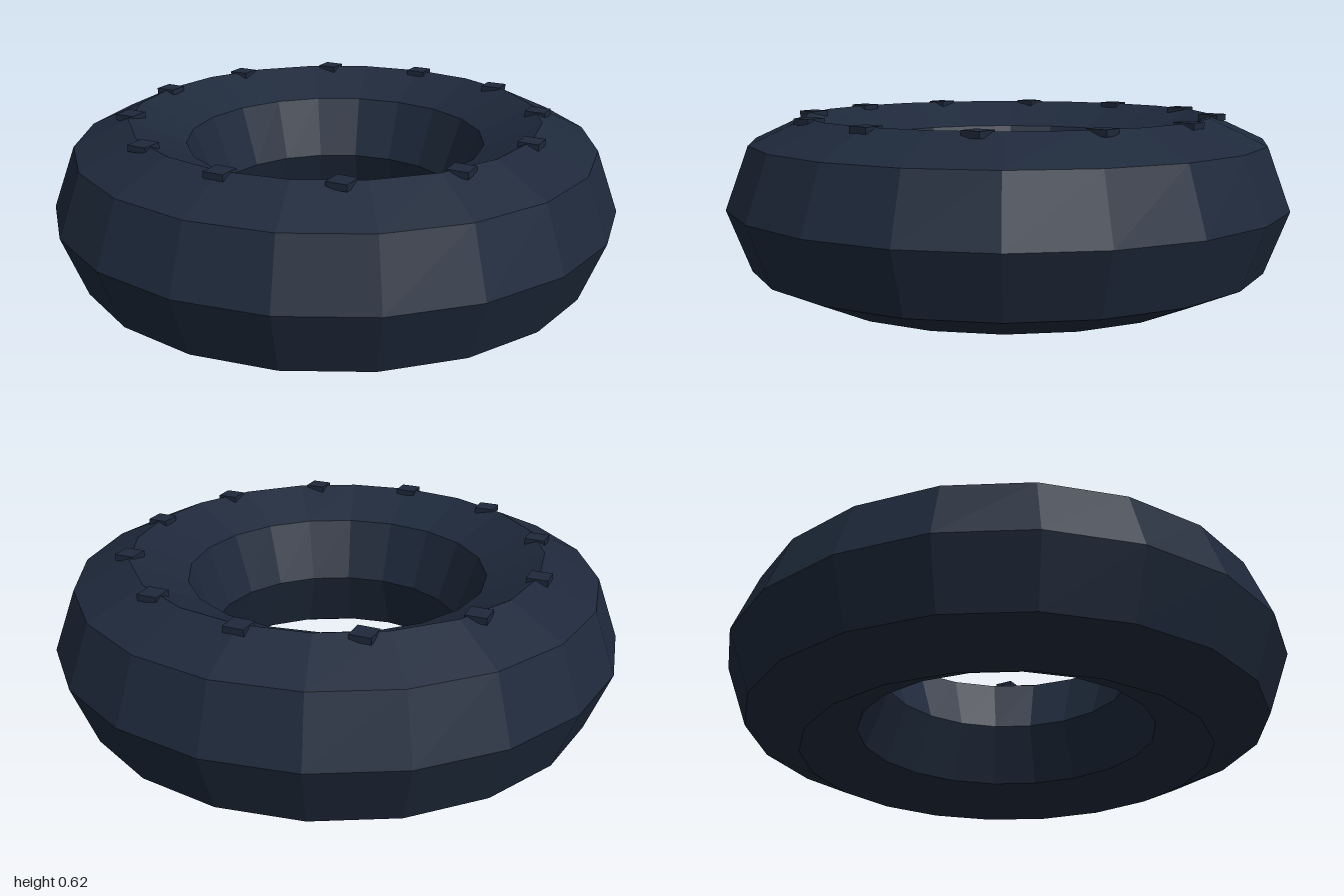
import * as THREE from 'three';

export function createModel() {
  const model = new THREE.Group();
  model.name = 'ring';

  const navy = new THREE.MeshStandardMaterial({ color: 0x1e293b, flatShading: true });
  navy.name = 'dark navy';

  const RADIUS = 0.725; // centre line of the tube
  const HALF_HEIGHT = 0.307;

  // Faceted ring lying flat, its tube slightly taller than wide
  const ringGeometry = new THREE.TorusGeometry(RADIUS, 0.275, 8, 20);
  ringGeometry.rotateX(-Math.PI / 2);
  ringGeometry.scale(1, HALF_HEIGHT / 0.275, 1);
  const body = new THREE.Mesh(ringGeometry, navy);
  body.name = 'ringBody';
  body.position.y = HALF_HEIGHT;
  model.add(body);

  // Twelve small square studs along the crest, all square to the axes
  const studs = new THREE.Group();
  studs.name = 'studs';
  const studGeometry = new THREE.BoxGeometry(0.072, 0.022, 0.072);
  for (let i = 0; i < 12; i++) {
    const angle = (i / 12) * Math.PI * 2;
    const stud = new THREE.Mesh(studGeometry, navy);
    stud.name = 'stud';
    stud.position.set(Math.cos(angle) * RADIUS, 0.607, Math.sin(angle) * RADIUS);
    studs.add(stud);
  }
  model.add(studs);

  return model;
}
